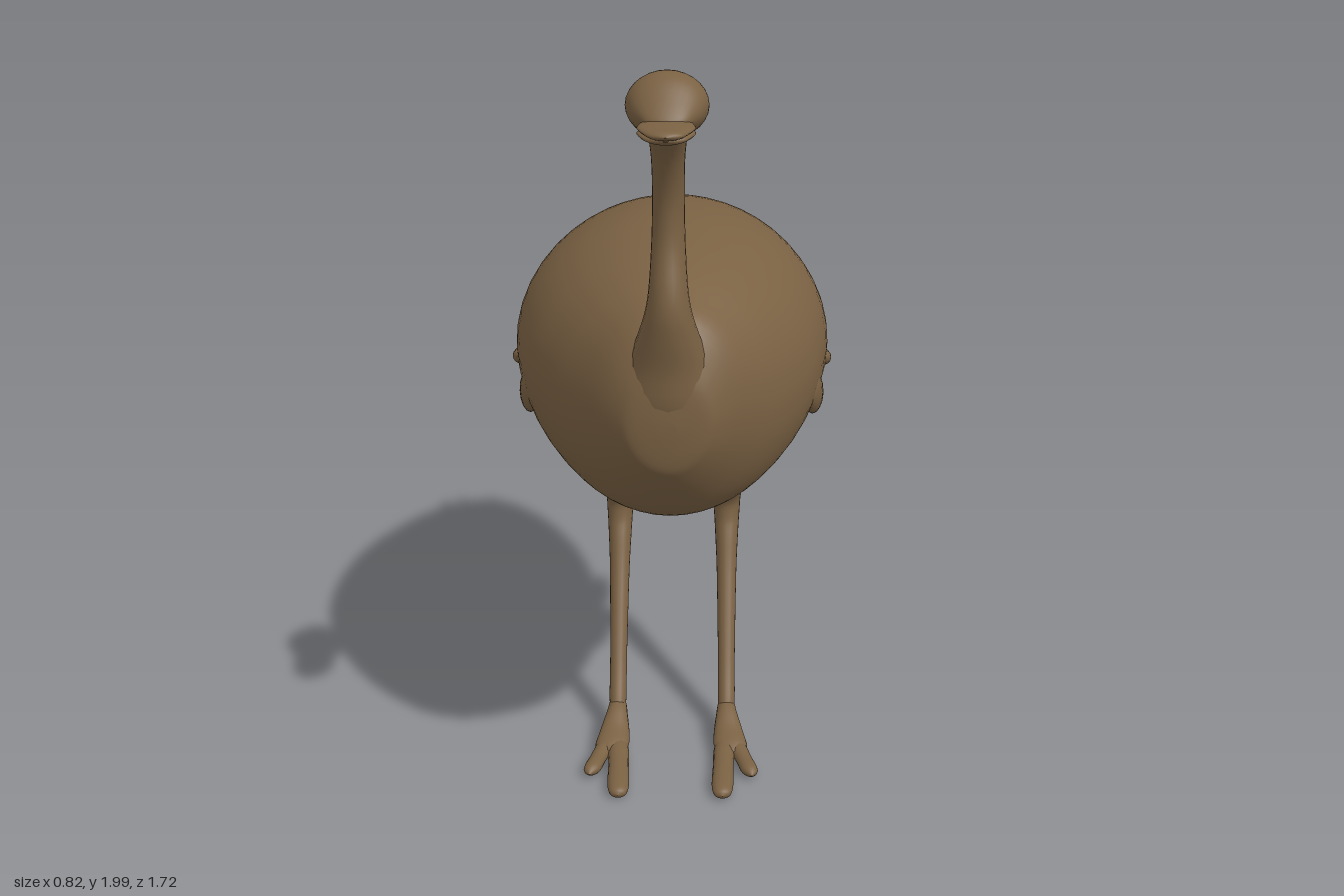
import * as THREE from 'three';

const brown = new THREE.MeshStandardMaterial({ color: 0x7a6143 });
brown.name = 'brown plumage';

// Closed smooth skin through elliptical sections [x, y, z, halfWidth, halfDepth].
// upright: sections lie flat (depth along z); otherwise they face z (depth along y).
function loft(name, rows, { upright = false, sides = 28, steps = 4 } = {}) {
  const cr = (a, b, c, d, t) => {
    const m0 = (c - a) / 2, m1 = (d - b) / 2, t2 = t * t, t3 = t2 * t;
    return (2 * t3 - 3 * t2 + 1) * b + (t3 - 2 * t2 + t) * m0 + (3 * t2 - 2 * t3) * c + (t3 - t2) * m1;
  };
  const last = rows.length - 1, rings = [];
  for (let i = 0; i < last; i++) {
    for (let s = 0; s < steps; s++) {
      const [a, b, c, d] = [rows[Math.max(i - 1, 0)], rows[i], rows[i + 1], rows[Math.min(i + 2, last)]];
      rings.push(b.map((_, k) => cr(a[k], b[k], c[k], d[k], s / steps)));
    }
  }
  rings.push(rows[last]);
  const pos = [], index = [];
  for (const [x, y, z, a, b] of rings) {
    for (let j = 0; j < sides; j++) {
      const t = (j / sides) * Math.PI * 2;
      const u = Math.max(a, 0.001) * Math.cos(t), v = Math.max(b, 0.001) * Math.sin(t);
      pos.push(x + u, upright ? y : y + v, upright ? z + v : z);
    }
  }
  // Outward winding depends on the direction the sections run
  const k = upright ? 1 : 2;
  const flip = (rows[last][k] > rows[0][k]) === upright;
  const tri = (a, b, c) => (flip ? index.push(a, c, b) : index.push(a, b, c));
  for (let i = 0; i < rings.length - 1; i++) {
    for (let j = 0; j < sides; j++) {
      const p = i * sides + j, q = i * sides + ((j + 1) % sides);
      tri(p, q, q + sides);
      tri(p, q + sides, p + sides);
    }
  }
  const end = (rings.length - 1) * sides;
  for (let j = 1; j < sides - 1; j++) {
    tri(0, j + 1, j);
    tri(end, end + j, end + j + 1);
  }
  const g = new THREE.BufferGeometry();
  g.setAttribute('position', new THREE.Float32BufferAttribute(pos, 3));
  g.setIndex(index);
  g.computeVertexNormals();
  const mesh = new THREE.Mesh(g, brown);
  mesh.name = name;
  return mesh;
}

// Body outline: [z, top, bottom, half width]
const BODY = [
  [0.578, 1.19, 1.15, 0.02], [0.57, 1.27, 1.07, 0.085], [0.55, 1.33, 1.03, 0.12], [0.5, 1.41, 0.965, 0.175],
  [0.42, 1.445, 0.885, 0.245], [0.33, 1.475, 0.842, 0.305], [0.2, 1.5, 0.838, 0.365],
  [0, 1.518, 0.845, 0.403], [-0.2, 1.507, 0.875, 0.392], [-0.4, 1.472, 0.908, 0.347],
  [-0.6, 1.405, 0.95, 0.262], [-0.72, 1.345, 1.0, 0.187], [-0.8, 1.28, 1.065, 0.118],
  [-0.845, 1.235, 1.12, 0.06], [-0.86, 1.19, 1.165, 0.02],
];

function createLeg(side) {
  const leg = new THREE.Group();
  leg.name = side > 0 ? 'leftLeg' : 'rightLeg';
  const at = (rows) => rows.map(([x, ...rest]) => [x * side, ...rest]);
  // Thigh, backward joint and shin
  leg.add(loft('thighAndShin', at([
    [0.17, 1.06, -0.13, 0.12, 0.14], [0.16, 0.95, -0.145, 0.128, 0.157], [0.155, 0.84, -0.172, 0.105, 0.133],
    [0.152, 0.72, -0.235, 0.067, 0.09], [0.153, 0.62, -0.305, 0.043, 0.052],
    [0.154, 0.56, -0.308, 0.037, 0.046], [0.154, 0.5, -0.28, 0.033, 0.044],
    [0.154, 0.4, -0.222, 0.028, 0.036], [0.154, 0.2, -0.1, 0.024, 0.03],
    [0.154, 0.1, -0.034, 0.024, 0.033], [0.154, 0.06, -0.005, 0.02, 0.025],
  ]), { upright: true, sides: 20 }));
  leg.add(loft('foot', at([
    [0.154, 0.08, -0.05, 0, 0], [0.154, 0.078, -0.035, 0.022, 0.024], [0.155, 0.068, 0.01, 0.03, 0.031],
    [0.16, 0.044, 0.07, 0.042, 0.027], [0.165, 0.033, 0.12, 0.045, 0.023], [0.165, 0.03, 0.15, 0.02, 0.012],
  ]), { sides: 16 }));
  leg.add(loft('innerToe', at([
    [0.15, 0.035, 0.07, 0.01, 0.01], [0.147, 0.03, 0.12, 0.028, 0.023], [0.143, 0.026, 0.2, 0.028, 0.021],
    [0.14, 0.024, 0.29, 0.029, 0.019], [0.139, 0.023, 0.33, 0.022, 0.015], [0.139, 0.023, 0.342, 0, 0],
  ]), { sides: 14 }));
  leg.add(loft('outerToe', at([
    [0.165, 0.035, 0.06, 0.01, 0.01], [0.18, 0.031, 0.11, 0.025, 0.02], [0.2, 0.027, 0.17, 0.023, 0.018],
    [0.215, 0.026, 0.225, 0.022, 0.017], [0.22, 0.026, 0.25, 0, 0],
  ]), { sides: 14 }));
  return leg;
}

function createWing(side) {
  const wing = new THREE.Group();
  wing.name = side > 0 ? 'leftWing' : 'rightWing';
  const at = (rows) => rows.map(([x, ...rest]) => [x * side, ...rest]);
  wing.add(loft('wingFold', at([
    [0.345, 1.12, 0.21, 0, 0], [0.352, 1.115, 0.18, 0.02, 0.048], [0.362, 1.085, 0.11, 0.026, 0.06],
    [0.365, 1.045, 0.03, 0.025, 0.04], [0.362, 1.01, -0.05, 0, 0],
  ]), { sides: 16 }));
  wing.add(loft('upperFeather', at([
    [0.385, 1.165, 0.07, 0, 0], [0.39, 1.155, 0.045, 0.02, 0.02], [0.391, 1.13, -0.04, 0.02, 0.024],
    [0.388, 1.105, -0.12, 0.018, 0.018], [0.383, 1.09, -0.16, 0, 0],
  ]), { sides: 14 }));
  wing.add(loft('lowerFeather', at([
    [0.385, 1.1, -0.1, 0, 0], [0.385, 1.09, -0.14, 0.02, 0.02], [0.377, 1.075, -0.22, 0.021, 0.022],
    [0.366, 1.065, -0.3, 0.017, 0.016], [0.358, 1.06, -0.335, 0, 0],
  ]), { sides: 14 }));
  return wing;
}

export function createModel() {
  const bird = new THREE.Group();
  bird.name = 'flightlessBird';

  bird.add(loft('body', BODY.map(([z, top, bottom, w]) => [0, (top + bottom) / 2, z, w, (top - bottom) / 2]), { sides: 48 }));

  // Curved neck, flaring into the chest
  bird.add(loft('neck', [
    [0, 1.1, 0.48, 0.09, 0.05], [0, 1.2, 0.485, 0.118, 0.09], [0, 1.3, 0.5, 0.095, 0.083],
    [0, 1.38, 0.525, 0.07, 0.072], [0, 1.44, 0.543, 0.053, 0.06], [0, 1.5, 0.542, 0.044, 0.052],
    [0, 1.6, 0.52, 0.038, 0.044], [0, 1.7, 0.522, 0.036, 0.042], [0, 1.79, 0.556, 0.037, 0.043],
    [0, 1.86, 0.605, 0.043, 0.05], [0, 1.92, 0.645, 0.05, 0.055],
  ], { upright: true, sides: 24 }));

  const head = new THREE.Group();
  head.name = 'head';
  head.add(loft('skull', [
    [0, 1.935, 0.572, 0, 0], [0, 1.935, 0.58, 0.032, 0.03], [0, 1.932, 0.61, 0.062, 0.056],
    [0, 1.93, 0.66, 0.087, 0.07], [0, 1.927, 0.7, 0.08, 0.062], [0, 1.917, 0.74, 0.058, 0.036],
    [0, 1.91, 0.765, 0.035, 0.015], [0, 1.908, 0.775, 0, 0],
  ], { sides: 28 }));
  // Flat beak in two halves
  for (const [name, y, tip] of [['upperBeak', 1.905, 0.862], ['lowerBeak', 1.894, 0.85]]) {
    head.add(loft(name, [
      [0, y, 0.7, 0.045, 0.012], [0, y, 0.75, 0.056, 0.012], [0, y, 0.785, 0.06, 0.011],
      [0, y - 0.002, 0.825, 0.046, 0.01], [0, y - 0.003, tip - 0.012, 0.031, 0.009], [0, y - 0.003, tip, 0, 0],
    ], { sides: 20 }));
  }
  bird.add(head);

  for (const side of [1, -1]) bird.add(createLeg(side), createWing(side));

  // Small feather tips around the tail
  const tips = [[-0.1, 1.3, -0.745, 0.022], [-0.05, 1.305, -0.79, 0.014], [-0.11, 1.1, -0.775, 0.012], [0.03, 1.25, -0.83, 0.014]];
  for (const [x, y, z, r] of tips) {
    const tip = new THREE.Mesh(new THREE.SphereGeometry(r, 12, 8), brown);
    tip.name = 'tailTip';
    tip.position.set(x, y, z);
    tip.scale.set(0.8, 1.5, 0.9);
    tip.rotation.x = -0.6;
    bird.add(tip);
  }
  return bird;
}
